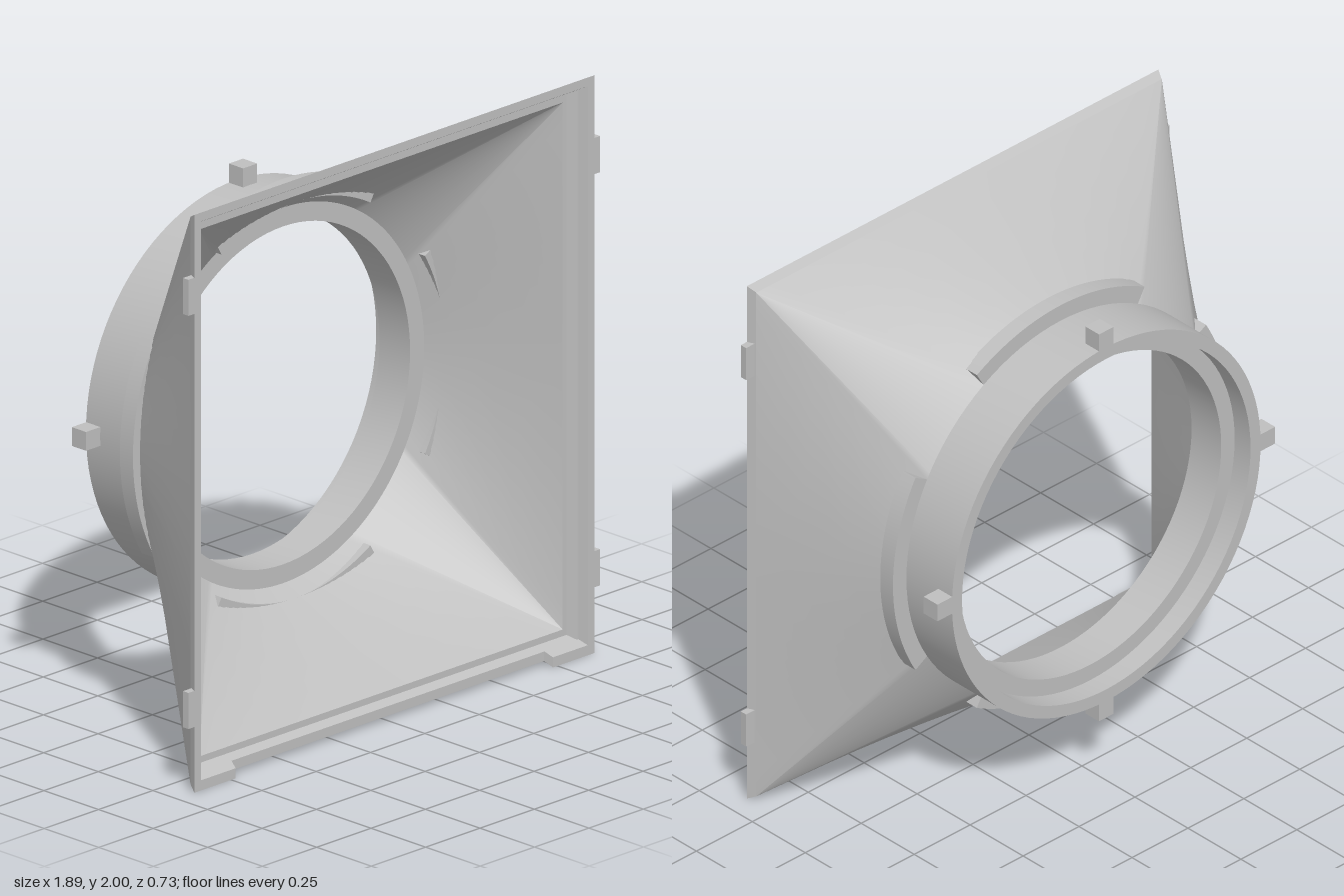
import * as THREE from 'three';
import { toCreasedNormals } from 'three/addons/utils/BufferGeometryUtils.js';

const CY = 1; // height of the duct axis
const SIDE = 24, FAN = 16; // steps along a wall and around a corner
const RING_BACK = -0.365, RING_FRONT = -0.15;

// Cross-section loops: four walls, each followed by a corner fan, anticlockwise from +x
function loop(z, wallPoint, fanPoint) {
  const pts = [];
  for (let k = 0; k < 4; k++) {
    for (let i = 0; i < SIDE; i++) pts.push(wallPoint(k, i / SIDE));
    for (let i = 0; i < FAN; i++) pts.push(fanPoint(k, i / FAN));
  }
  return pts.map(([x, y]) => [x, y + CY, z]);
}

function circleLoop(r, z) {
  const at = (deg) => [r * Math.cos(deg * Math.PI / 180), r * Math.sin(deg * Math.PI / 180)];
  return loop(z, (k, t) => at(k * 90 - 30 + 60 * t), (k, t) => at(k * 90 + 30 + 30 * t));
}

function rectLoop(w, h, z) {
  const corners = [[w, -h], [w, h], [-w, h], [-w, -h]];
  return loop(z, (k, t) => {
    const a = corners[k], b = corners[(k + 1) % 4];
    return [a[0] + (b[0] - a[0]) * t, a[1] + (b[1] - a[1]) * t];
  }, (k) => corners[(k + 1) % 4]);
}

// Surface band between two loops
function band(a, b) {
  const n = a.length, index = [];
  const same = (p, q) => Math.hypot(p[0] - q[0], p[1] - q[1], p[2] - q[2]) < 1e-6;
  for (let i = 0; i < n; i++) {
    const j = (i + 1) % n;
    if (!same(a[i], a[j])) index.push(i, j, n + i);
    if (!same(b[i], b[j])) index.push(j, n + j, n + i);
  }
  const g = new THREE.BufferGeometry();
  g.setAttribute('position', new THREE.Float32BufferAttribute([...a, ...b].flat(), 3));
  g.setIndex(index);
  g.computeVertexNormals();
  return g;
}

export function createModel() {
  const model = new THREE.Group();
  model.name = 'squareToRoundDuct';
  const grey = new THREE.MeshStandardMaterial({ color: 0xbfbfbf, side: THREE.DoubleSide });
  grey.name = 'light grey plastic';

  const add = (name, geometry, x = 0, y = 0, z = 0) => {
    const mesh = new THREE.Mesh(geometry, grey);
    mesh.name = name;
    mesh.position.set(x, y, z);
    model.add(mesh);
    return mesh;
  };

  // Funnel: outer skin, rim seat, inner step, ledge and inner skin
  const sections = [
    ['funnelOuterWall', circleLoop(0.69, RING_FRONT)],
    ['rimSeat', rectLoop(0.907, 0.983, 0.33)],
    ['rimInnerStep', rectLoop(0.872, 0.95, 0.33)],
    ['rimLedge', rectLoop(0.852, 0.935, 0.3)],
    ['funnelInnerWall', rectLoop(0.835, 0.912, 0.3)],
    ['', circleLoop(0.65, RING_FRONT)],
  ];
  for (let i = 0; i < sections.length - 1; i++) {
    add(sections[i][0], band(sections[i][1], sections[i + 1][1]));
  }

  // Front rim: a frame open along the middle of its bottom edge, tapering to the back
  const rimPoints = [
    [-0.92, -1], [-0.73, -1], [-0.73, -0.965], [-0.89, -0.965], [-0.89, 0.97], [0.89, 0.97],
    [0.89, -0.965], [0.73, -0.965], [0.73, -1], [0.92, -1], [0.92, 1], [-0.92, 1],
  ].map(([x, y]) => new THREE.Vector2(x, y));
  const rim = new THREE.ExtrudeGeometry(new THREE.Shape(rimPoints), { depth: 0.03, bevelEnabled: false });
  const pos = rim.attributes.position;
  for (let i = 0; i < pos.count; i++) {
    if (pos.getZ(i) < 0.01) pos.setXY(i, pos.getX(i) * 0.985, pos.getY(i) * 0.983);
  }
  rim.computeVertexNormals();
  add('frontRim', rim, 0, CY, 0.33);

  // Clips on the sides of the rim
  for (const s of [-1, 1]) {
    for (const y of [0.29, 1.72]) {
      add('sideClip', new THREE.BoxGeometry(0.045, 0.125, 0.025), s * 0.9245, y, 0.3475);
    }
  }

  // Round collar with a stepped bore
  const profile = [
    [0.69, RING_BACK], [0.69, RING_FRONT], [0.585, RING_FRONT], [0.585, -0.29],
    [0.645, -0.29], [0.645, RING_BACK], [0.69, RING_BACK],
  ].map(([r, z]) => new THREE.Vector2(r, z));
  const collar = new THREE.LatheGeometry(profile, 96).rotateX(Math.PI / 2);
  add('collar', toCreasedNormals(collar, 0.6), 0, CY, 0);

  // Flange arcs and locking pegs, one of each per quarter turn
  const arc = new THREE.Shape();
  arc.absarc(0, 0, 0.75, -Math.PI / 6, Math.PI / 6, false);
  arc.absarc(0, 0, 0.685, Math.PI / 6, -Math.PI / 6, true);
  const flange = toCreasedNormals(
    new THREE.ExtrudeGeometry(arc, { depth: 0.06, bevelEnabled: false, curveSegments: 24 }), 0.6);
  const peg = new THREE.BoxGeometry(0.085, 0.065, 0.065);
  for (let k = 0; k < 4; k++) {
    const a = k * Math.PI / 2;
    add('flangeArc', flange, 0, CY, RING_FRONT).rotation.z = a;
    add('lockingPeg', peg, 0.7125 * Math.cos(a), CY + 0.7125 * Math.sin(a), RING_BACK + 0.0325).rotation.z = a;
  }
  return model;
}
